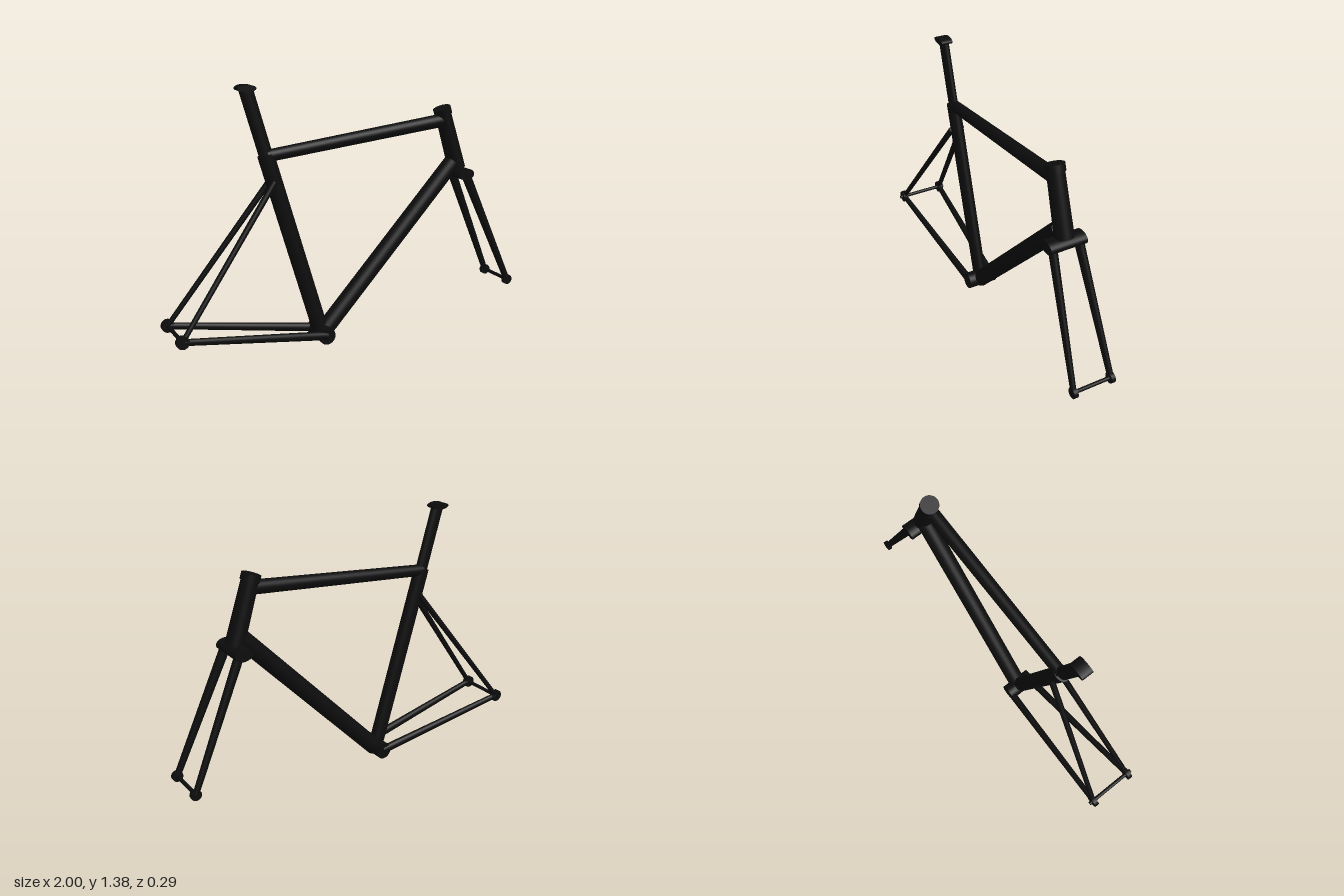
import * as THREE from 'three';

export function createModel() {
  const group = new THREE.Group();
  group.name = 'bicycleFrame';
  const black = new THREE.MeshStandardMaterial({ color: 0x0c0c0c });
  black.name = 'satin black';
  const V = (x, y, z = 0) => new THREE.Vector3(x, y, z);

  // Tapered tube from a to b; flat scales its width across z
  function tube(name, a, b, ra, rb, flat = 1) {
    const dir = b.clone().sub(a);
    const geo = new THREE.CylinderGeometry(rb, ra, dir.length(), 32);
    geo.scale(1, 1, flat);
    const mesh = new THREE.Mesh(geo, black);
    mesh.name = name;
    mesh.position.copy(a).add(b).multiplyScalar(0.5);
    mesh.quaternion.setFromUnitVectors(V(0, 1), dir.normalize());
    group.add(mesh);
  }

  // Crosswise cylinder along z with an elliptical section
  function crossTube(name, x, y, z, rx, ry, width) {
    const geo = new THREE.CylinderGeometry(1, 1, width, 32);
    geo.rotateX(Math.PI / 2);
    geo.scale(rx, ry, 1);
    const mesh = new THREE.Mesh(geo, black);
    mesh.name = name;
    mesh.position.set(x, y, z);
    group.add(mesh);
  }

  // Main triangle
  tube('seatTube', V(-0.175, 0.045), V(-0.468, 1.028), 0.043, 0.043, 0.78);
  tube('downTube', V(-0.165, 0.042), V(0.635, 0.885), 0.046, 0.046);
  tube('topTube', V(-0.465, 1.02), V(0.58, 1.124), 0.031, 0.036);
  crossTube('bottomBracket', -0.175, 0.045, 0, 0.045, 0.045, 0.164);

  // Head tube with its upper collar
  tube('headTube', V(0.666, 0.852), V(0.56, 1.182), 0.048, 0.043);
  tube('headCollar', V(0.57, 1.155), V(0.558, 1.19), 0.048, 0.048);

  // Seat post and saddle clamp
  tube('seatPost', V(-0.455, 0.985), V(-0.563, 1.355), 0.036, 0.036, 0.62);
  crossTube('saddleClamp', -0.565, 1.358, 0, 0.047, 0.017, 0.062);

  // Fork crown and axles
  crossTube('forkCrown', 0.668, 0.83, 0, 0.048, 0.031, 0.196);
  crossTube('frontAxle', 0.967, 0.185, 0, 0.01, 0.01, 0.232);
  crossTube('rearAxle', -0.967, 0.185, 0, 0.01, 0.01, 0.292);

  // Mirrored fork blades, stays and dropouts
  for (const [side, s] of [['left', 1], ['right', -1]]) {
    tube(side + 'ForkBlade', V(0.675, 0.835, s * 0.07), V(0.967, 0.185, s * 0.105), 0.026, 0.017, 0.85);
    crossTube(side + 'FrontDropout', 0.967, 0.185, s * 0.105, 0.028, 0.028, 0.022);
    tube(side + 'Chainstay', V(-0.175, 0.045, s * 0.068), V(-0.967, 0.185, s * 0.12), 0.024, 0.017, 0.85);
    tube(side + 'Seatstay', V(-0.435, 0.893, s * 0.028), V(-0.967, 0.185, s * 0.12), 0.016, 0.013);
    crossTube(side + 'RearDropout', -0.967, 0.185, s * 0.12, 0.033, 0.033, 0.024);
  }
  return group;
}
